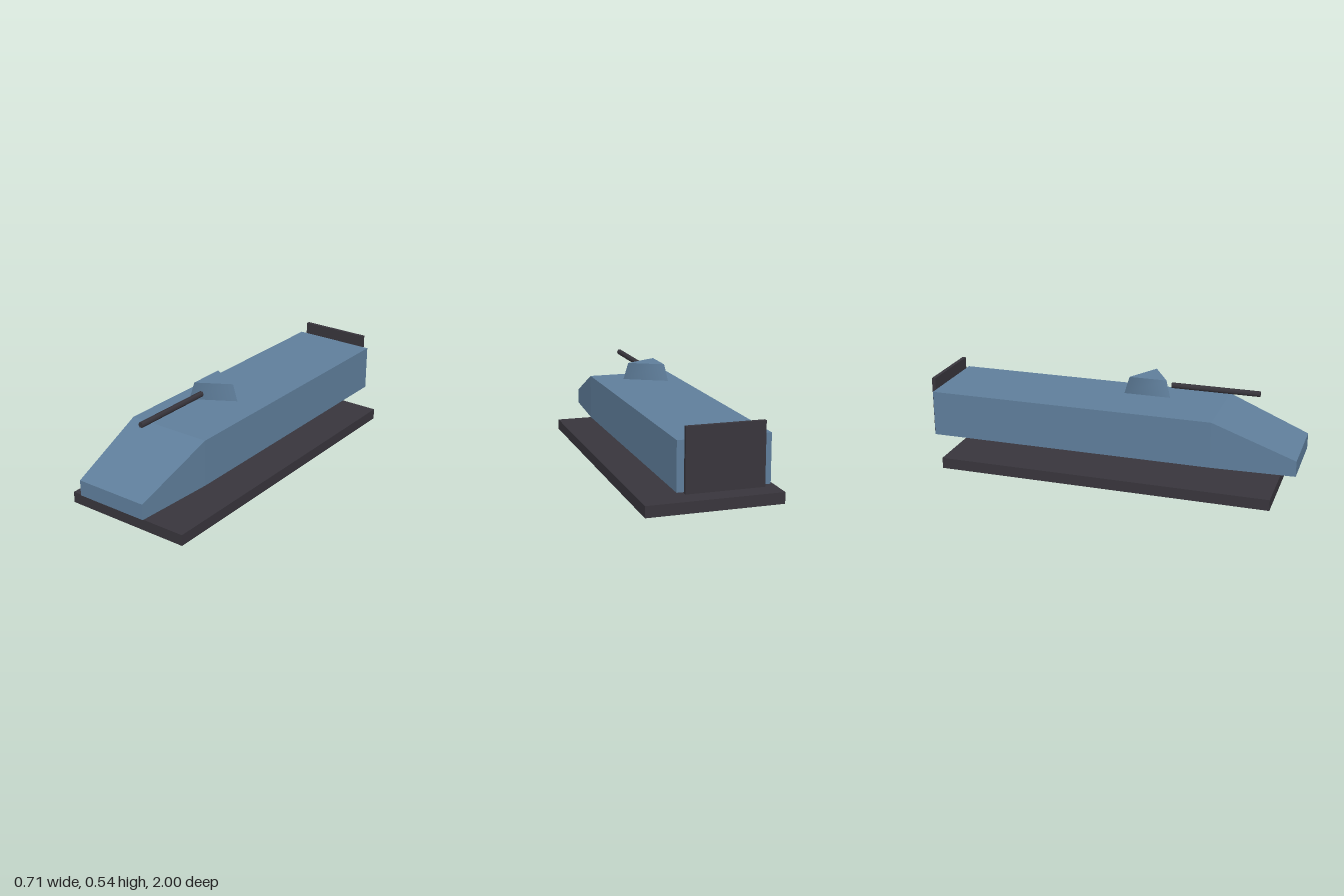
import * as THREE from 'three';

const paint = (name, color) => {
  const m = new THREE.MeshStandardMaterial({ color });
  m.name = name;
  return m;
};

// Box given by its two extreme corners
function block(name, material, [x0, y0, z0], [x1, y1, z1]) {
  const mesh = new THREE.Mesh(new THREE.BoxGeometry(x1 - x0, y1 - y0, z1 - z0), material);
  mesh.position.set((x0 + x1) / 2, (y0 + y1) / 2, (z0 + z1) / 2);
  mesh.name = name;
  return mesh;
}

// Flat-faced hull lofted through rectangular sections [z, halfWidth, bottom, top], back to front
function loftHull(sections) {
  const rings = sections.map(([z, w, b, t]) => [[-w, b, z], [w, b, z], [w, t, z], [-w, t, z]]);
  const pos = [];
  const quad = (a, b, c, d) => pos.push(...a, ...b, ...c, ...a, ...c, ...d);
  for (let i = 0; i < rings.length - 1; i++) {
    const p = rings[i], q = rings[i + 1];
    for (let k = 0; k < 4; k++) {
      const n = (k + 1) % 4;
      quad(p[k], p[n], q[n], q[k]);
    }
  }
  const first = rings[0], last = rings[rings.length - 1];
  quad(first[3], first[2], first[1], first[0]);
  quad(...last);
  const g = new THREE.BufferGeometry();
  g.setAttribute('position', new THREE.Float32BufferAttribute(pos, 3));
  g.computeVertexNormals();
  return g;
}

export function createModel() {
  const blue = paint('steel blue', 0x5f7e9b);
  const dark = paint('charcoal', 0x38353c);
  const teal = paint('pale teal', 0x78bccb);

  const model = new THREE.Group();
  model.name = 'hoverTank';

  // Hover base and its glowing underside
  model.add(block('hoverBase', dark, [-0.353, 0.013, -0.885], [0.353, 0.072, 0.9]));
  model.add(block('hoverGlow', teal, [-0.275, 0, -0.785], [0.275, 0.013, 0.8]));

  // Hull with sloped, narrowing nose
  const hull = new THREE.Mesh(loftHull([
    [-0.98, 0.232, 0.153, 0.4],
    [0.565, 0.232, 0.153, 0.4],
    [1, 0.2, 0.147, 0.23],
  ]), blue);
  hull.name = 'hull';
  model.add(hull);

  // Rear plate
  model.add(block('rearPlate', dark, [-0.196, 0.147, -1], [0.196, 0.465, -0.98]));

  // Three-sided turret, one corner pointing to +x
  const turret = new THREE.Mesh(
    new THREE.CylinderGeometry(0.116, 0.144, 0.088, 3, 1, false, Math.PI / 2), blue);
  turret.position.set(0, 0.494, 0.183);
  turret.name = 'turret';
  model.add(turret);

  // Hexagonal gun barrel
  const barrel = new THREE.Mesh(
    new THREE.CylinderGeometry(0.015, 0.015, 0.47, 6, 1, false, Math.PI / 2), dark);
  barrel.rotation.x = Math.PI / 2;
  barrel.position.set(0, 0.495, 0.533);
  barrel.name = 'gunBarrel';
  model.add(barrel);

  return model;
}
